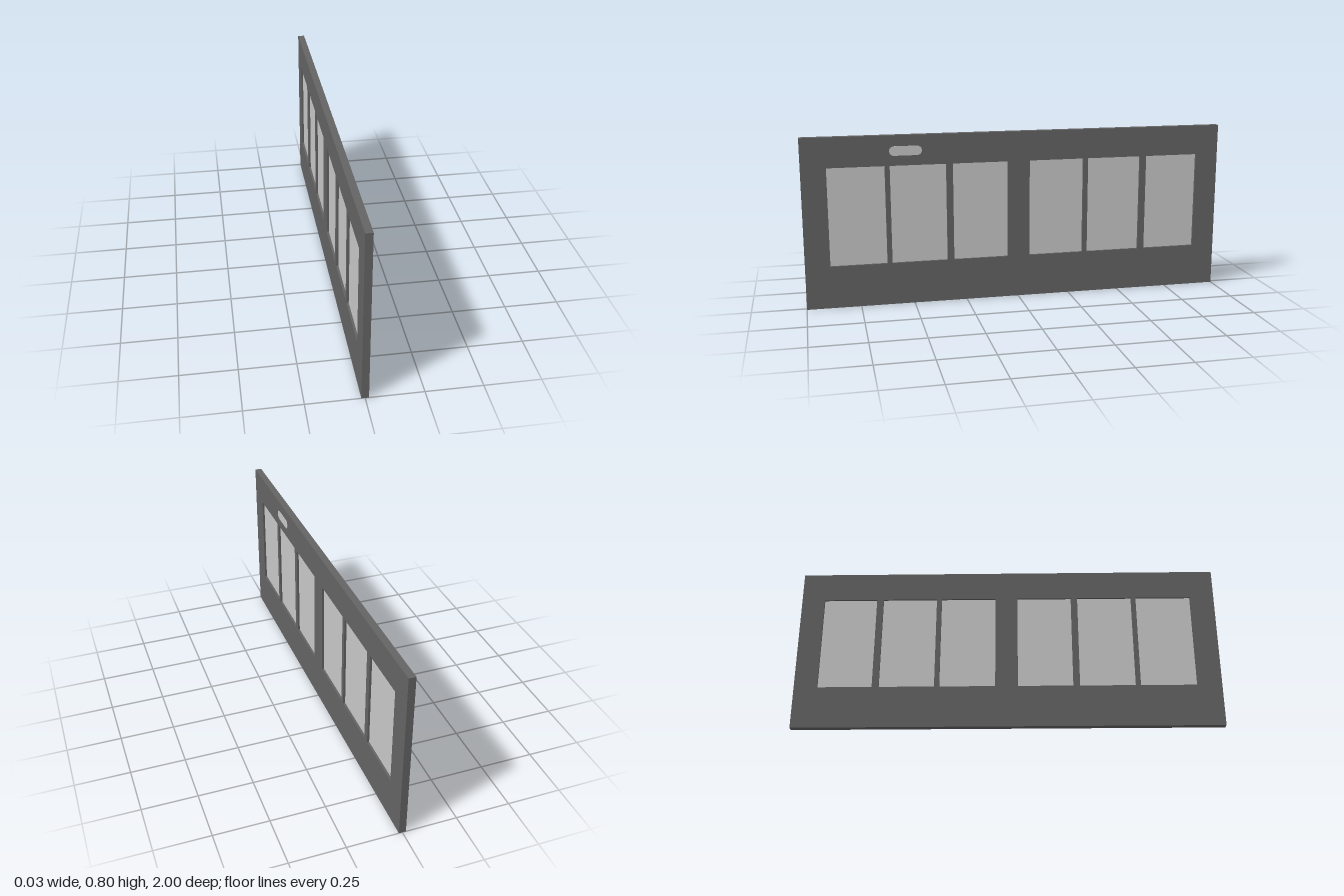
import * as THREE from 'three';

const T = 0.032; // panel thickness
const Y0 = 0.2, Y1 = 0.66; // window opening heights
const WINDOWS = [[0.623, 0.885], [0.34, 0.6], [0.05, 0.309], [-0.318, -0.056], [-0.602, -0.342], [-0.89, -0.634]];

// Trace a rectangle into a Shape or Path
function rect(path, a0, b0, a1, b1) {
  path.moveTo(a0, b0);
  path.lineTo(a1, b0);
  path.lineTo(a1, b1);
  path.lineTo(a0, b1);
  path.closePath();
  return path;
}

// Extrude a (z, y) outline along x, centred on x = 0
function slab(shape, depth) {
  const g = new THREE.ExtrudeGeometry(shape, { depth, bevelEnabled: false, curveSegments: 6 });
  g.translate(0, 0, -depth / 2);
  g.rotateY(-Math.PI / 2);
  return g;
}

export function createModel() {
  const group = new THREE.Group();
  const frameGrey = new THREE.MeshStandardMaterial({ color: 0x646464 });
  frameGrey.name = 'frame grey';
  const paleGrey = new THREE.MeshStandardMaterial({ color: 0xc8c8c8 });
  paleGrey.name = 'pale grey';

  const add = (name, geometry, material) => {
    const mesh = new THREE.Mesh(geometry, material);
    mesh.name = name;
    group.add(mesh);
    return mesh;
  };

  // Frame with six window openings
  const outline = rect(new THREE.Shape(), -1, 0, 1, 0.8);
  for (const [z0, z1] of WINDOWS) outline.holes.push(rect(new THREE.Path(), z0, Y0, z1, Y1));
  add('frame', slab(outline, T), frameGrey);

  // Panes set back from both faces
  WINDOWS.forEach(([z0, z1], i) => {
    const pane = add('windowPane' + (i + 1), new THREE.BoxGeometry(0.012, Y1 - Y0, z1 - z0), paleGrey);
    pane.position.set(0, (Y0 + Y1) / 2, (z0 + z1) / 2);
  });

  // Small rounded plate above the windows, on the +x face only
  const r = 0.022, half = 0.075 - r;
  const pill = new THREE.Shape();
  pill.absarc(half, 0, r, -Math.PI / 2, Math.PI / 2, false);
  pill.absarc(-half, 0, r, Math.PI / 2, Math.PI * 1.5, false);
  const plate = add('plate', slab(pill, 0.003), paleGrey);
  plate.position.set(T / 2, 0.728, 0.526);

  return group;
}
